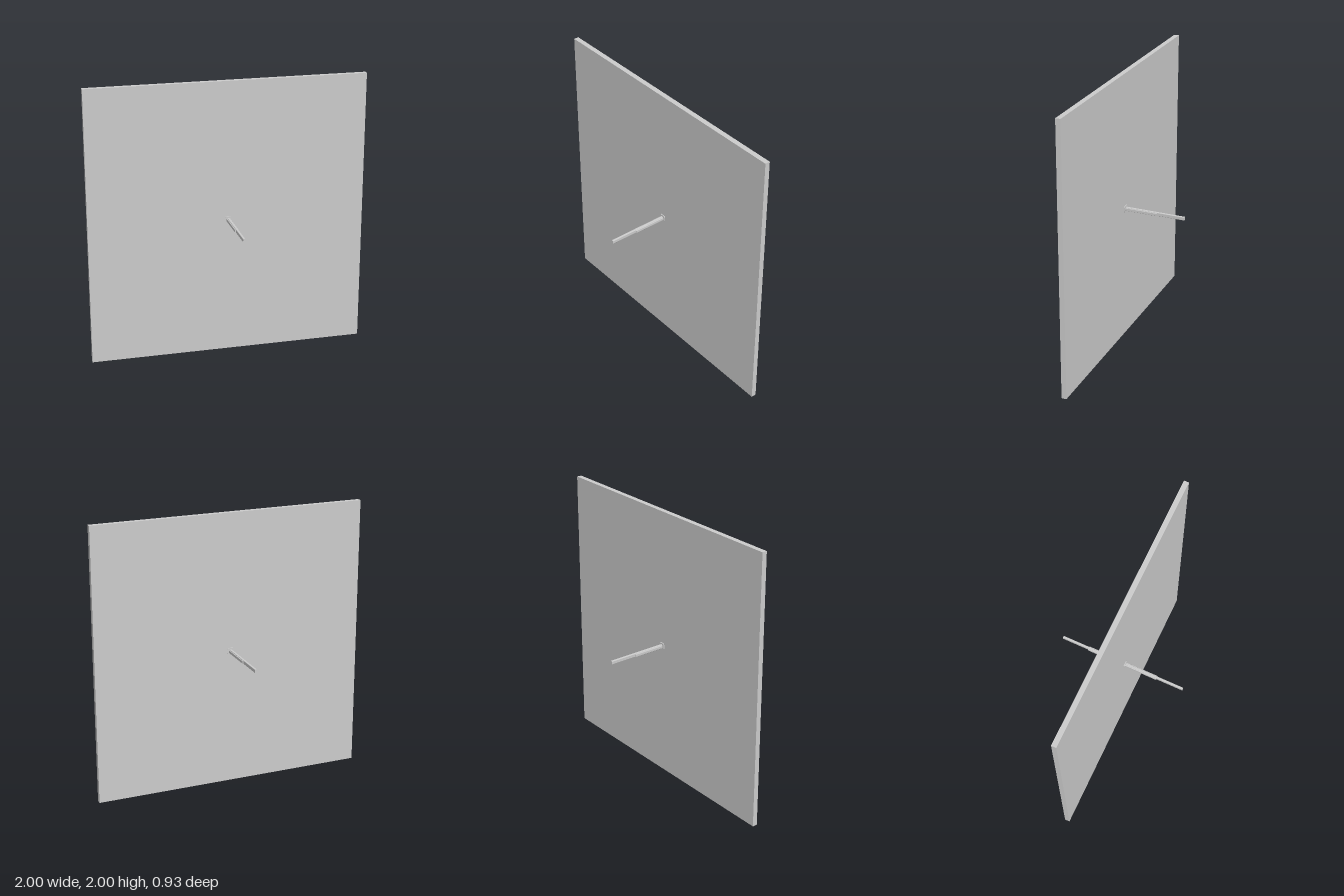
import * as THREE from 'three';

const material = new THREE.MeshStandardMaterial({ color: 0xcccccc, flatShading: true });

// Rounded rectangle outline centred on the origin
function roundedRect(w, h, r) {
  const s = new THREE.Shape();
  const x = w / 2 - r, y = h / 2 - r;
  s.absarc(x, y, r, 0, Math.PI / 2);
  s.absarc(-x, y, r, Math.PI / 2, Math.PI);
  s.absarc(-x, -y, r, Math.PI, Math.PI * 1.5);
  s.absarc(x, -y, r, Math.PI * 1.5, Math.PI * 2);
  s.closePath();
  return s;
}

// Bar of rounded section running along z, centred on the panel
function bar(name, w, h, r, length, y) {
  const geometry = new THREE.ExtrudeGeometry(roundedRect(w, h, r), {
    depth: length, bevelEnabled: false, curveSegments: 4,
  });
  geometry.translate(0, y, -length / 2);
  const mesh = new THREE.Mesh(geometry, material);
  mesh.name = name;
  return mesh;
}

export function createModel() {
  const model = new THREE.Group();
  model.name = 'panelWithSpindle';

  // Large square panel
  const panel = new THREE.Mesh(new THREE.BoxGeometry(2, 2, 0.036), material);
  panel.name = 'panel';
  panel.position.y = 1;
  model.add(panel);

  // Collar through the panel, a wider sleeve, and a slim spindle through both
  model.add(bar('collar', 0.048, 0.048, 0.011, 0.048, 1));
  model.add(bar('sleeve', 0.027, 0.021, 0.003, 0.53, 0.9975));
  model.add(bar('spindle', 0.016, 0.026, 0.004, 0.93, 1));

  return model;
}
